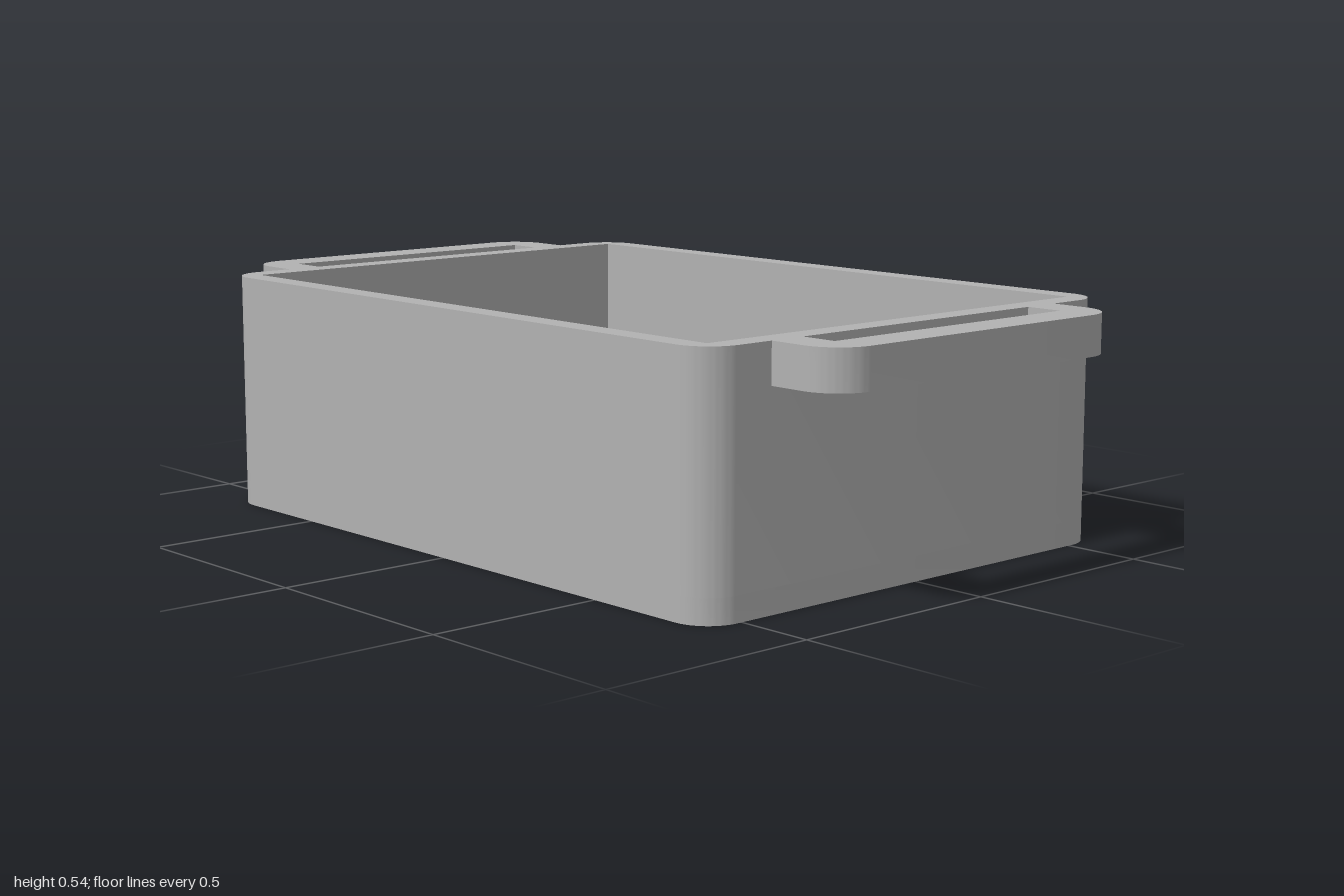
import * as THREE from 'three';
import { toCreasedNormals } from 'three/addons/utils/BufferGeometryUtils.js';

const HEIGHT = 0.543, FLOOR = 0.055, HANDLE_Y = 0.455;

// Rectangle outline with rounded corners
function roundedRect(Type, x0, x1, z0, z1, r) {
  const s = new Type();
  s.moveTo(x0 + r, z0);
  s.lineTo(x1 - r, z0);
  s.absarc(x1 - r, z0 + r, r, -Math.PI / 2, 0);
  s.lineTo(x1, z1 - r);
  s.absarc(x1 - r, z1 - r, r, 0, Math.PI / 2);
  s.lineTo(x0 + r, z1);
  s.absarc(x0 + r, z1 - r, r, Math.PI / 2, Math.PI);
  s.lineTo(x0, z0 + r);
  s.absarc(x0 + r, z0 + r, r, Math.PI, Math.PI * 1.5);
  return s;
}

function rect(Type, x0, x1, z0, z1) {
  return new Type([[x0, z0], [x1, z0], [x1, z1], [x0, z1]].map(p => new THREE.Vector2(...p)));
}

// Horizontal slab of a plan shape between two heights
function slab(shape, y0, y1, name, material) {
  const g = new THREE.ExtrudeGeometry(shape, { depth: y1 - y0, bevelEnabled: false, curveSegments: 10 });
  g.rotateX(-Math.PI / 2);
  g.translate(0, y0, 0);
  const mesh = new THREE.Mesh(toCreasedNormals(g, 0.6), material);
  mesh.name = name;
  return mesh;
}

export function createModel() {
  const model = new THREE.Group();
  model.name = 'openTray';
  const grey = new THREE.MeshStandardMaterial({ color: 0xb2b2b2 });
  grey.name = 'plain grey';

  // Floor with the off-centre window
  const floor = roundedRect(THREE.Shape, -0.825, 0.825, -0.597, 0.597, 0.085);
  floor.holes.push(rect(THREE.Path, -0.52, 0.33, -0.44, 0.44));
  model.add(slab(floor, 0, FLOOR, 'floor', grey));

  // Walls
  const walls = roundedRect(THREE.Shape, -0.825, 0.825, -0.597, 0.597, 0.085);
  walls.holes.push(rect(THREE.Path, -0.768, 0.768, -0.542, 0.542));
  model.add(slab(walls, FLOOR, HEIGHT, 'walls', grey));

  // U-shaped handles flush with the rim
  const handle = new THREE.Shape();
  const r = 0.09, w = 0.425, slot = 0.34;
  handle.moveTo(0.825, -w);
  handle.lineTo(1 - r, -w);
  handle.absarc(1 - r, -w + r, r, -Math.PI / 2, 0);
  handle.lineTo(1, w - r);
  handle.absarc(1 - r, w - r, r, 0, Math.PI / 2);
  handle.lineTo(0.825, w);
  handle.lineTo(0.825, slot);
  handle.lineTo(0.91, slot);
  handle.lineTo(0.91, -slot);
  handle.lineTo(0.825, -slot);
  const left = slab(handle, HANDLE_Y, HEIGHT, 'leftHandle', grey);
  const right = left.clone();
  right.name = 'rightHandle';
  right.rotation.y = Math.PI;
  model.add(left, right);

  return model;
}
